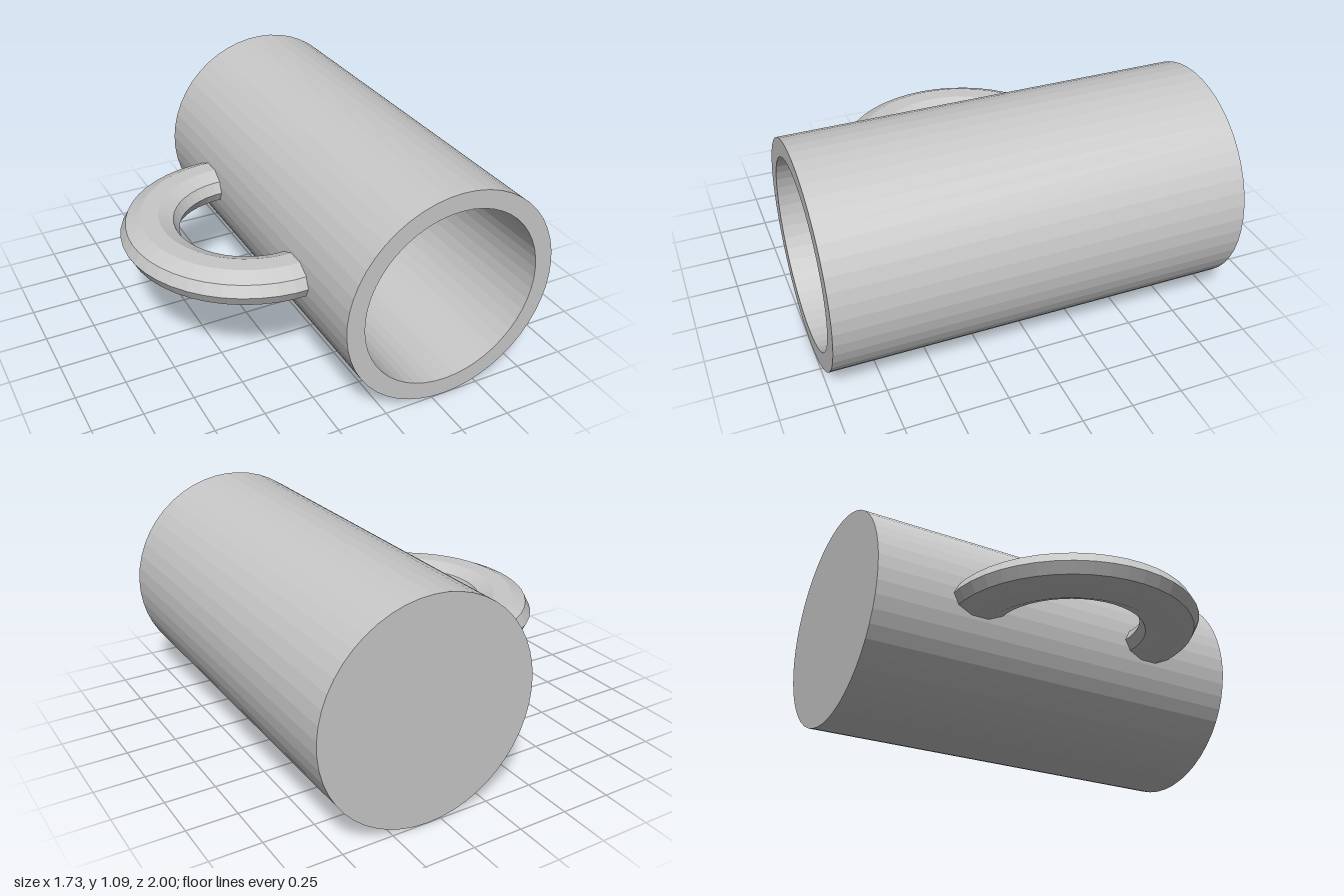
import * as THREE from 'three';

const RADIUS = 0.545, BORE = 0.455, HALF = 1, CENTRE_X = 0.318;

export function createModel() {
  const model = new THREE.Group();
  model.name = 'mug';
  const grey = new THREE.MeshStandardMaterial({ color: 0xc8c8c8, flatShading: true });
  grey.name = 'light grey';

  // Hollow cup lying on its side: closed at the back, open at the front
  const profile = [
    [0, -HALF], [RADIUS, -HALF], [RADIUS, HALF],
    [BORE, HALF], [BORE, -HALF + 0.09], [0, -HALF + 0.09],
  ].map(([r, y]) => new THREE.Vector2(r, y));
  const cup = new THREE.Mesh(new THREE.LatheGeometry(profile, 50), grey);
  cup.name = 'cup';
  cup.geometry.rotateX(Math.PI / 2);
  cup.position.set(CENTRE_X, RADIUS, 0);
  model.add(cup);

  // Half-ring handle with a flattened ten-sided section, ends sunk into the wall
  const sink = 0.05;
  const ring = new THREE.TorusGeometry(0.49, 0.145, 10, 24, Math.PI + 2 * sink);
  ring.rotateZ(Math.PI / 2 - sink);
  ring.scale(1, 1, 0.63);
  ring.rotateX(Math.PI / 2);
  const handle = new THREE.Mesh(ring, grey);
  handle.name = 'handle';
  handle.position.set(-0.229, 0.547, 0.015);
  model.add(handle);

  return model;
}
